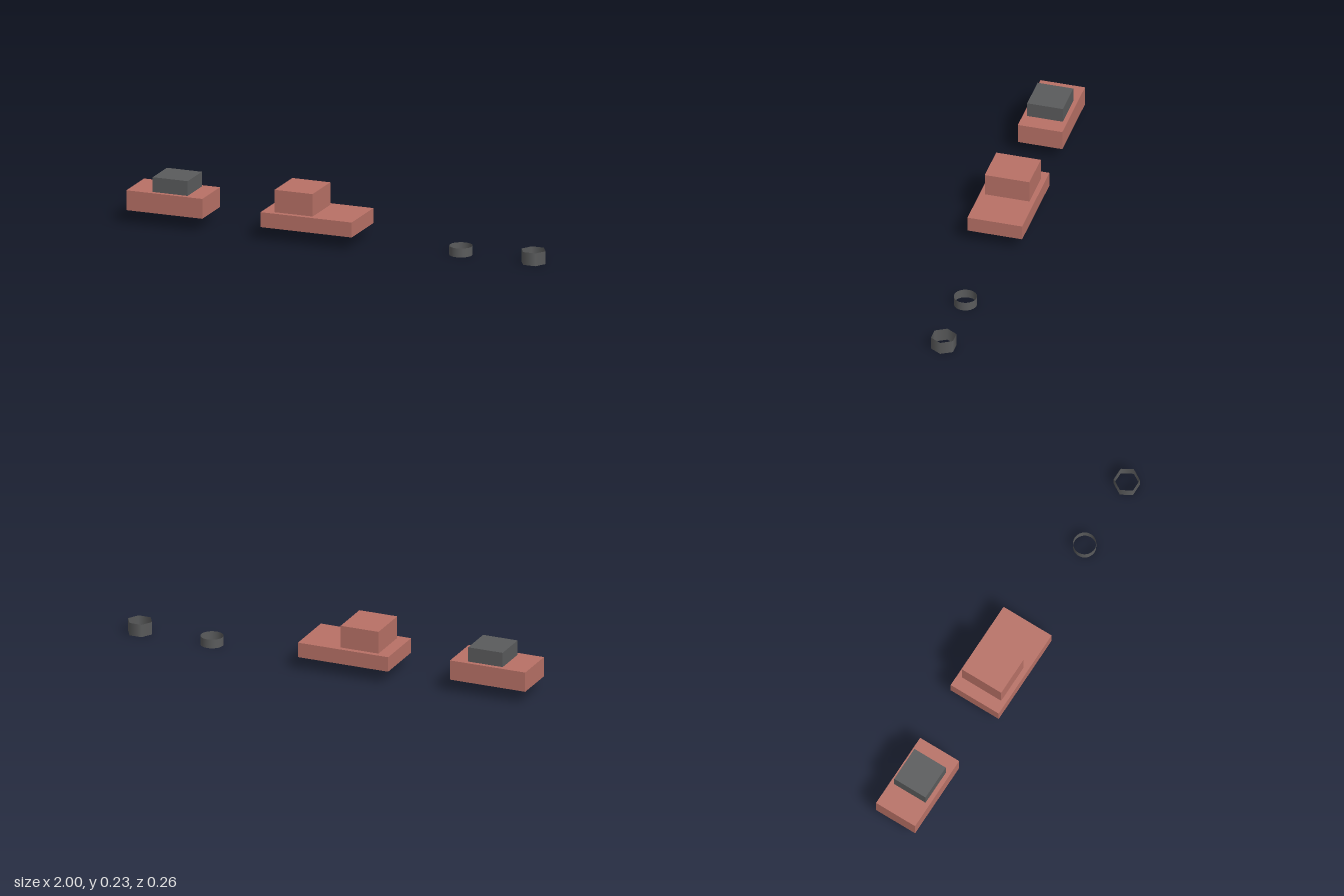
import * as THREE from 'three';

export function createModel() {
  const model = new THREE.Group();
  const brick = new THREE.MeshStandardMaterial({ color: 0xb87166 });
  brick.name = 'brick red';
  const grey = new THREE.MeshStandardMaterial({ color: 0x5a5b5c, side: THREE.DoubleSide });
  grey.name = 'dark grey';

  // Box given by its x and y limits and its depth, centred on z = 0
  function block(name, x0, x1, y0, y1, depth, material) {
    const mesh = new THREE.Mesh(new THREE.BoxGeometry(x1 - x0, y1 - y0, depth), material);
    mesh.position.set((x0 + x1) / 2, (y0 + y1) / 2, 0);
    mesh.name = name;
    model.add(mesh);
  }

  // Thin open tube standing on the ground
  function tube(name, x, radius, height, sides) {
    const geometry = new THREE.CylinderGeometry(radius, radius, height, sides, 1, true);
    geometry.rotateY(Math.PI / 2);
    const mesh = new THREE.Mesh(geometry, grey);
    mesh.position.set(x, height / 2, 0);
    mesh.name = name;
    model.add(mesh);
  }

  // Short body with a grey cap
  block('shortBody', -1, -0.63, 0.06, 0.153, 0.208, brick);
  block('shortBodyCap', -0.88, -0.71, 0.153, 0.222, 0.167, grey);

  // Long body with a raised cabin
  block('longBody', -0.336, 0.108, 0.06, 0.13, 0.256, brick);
  block('cabin', -0.278, -0.092, 0.13, 0.235, 0.209, brick);

  // Open rings
  tube('roundRing', 0.587, 0.0525, 0.042, 32);
  tube('hexagonalRing', 0.941, 0.059, 0.06, 6);

  return model;
}
